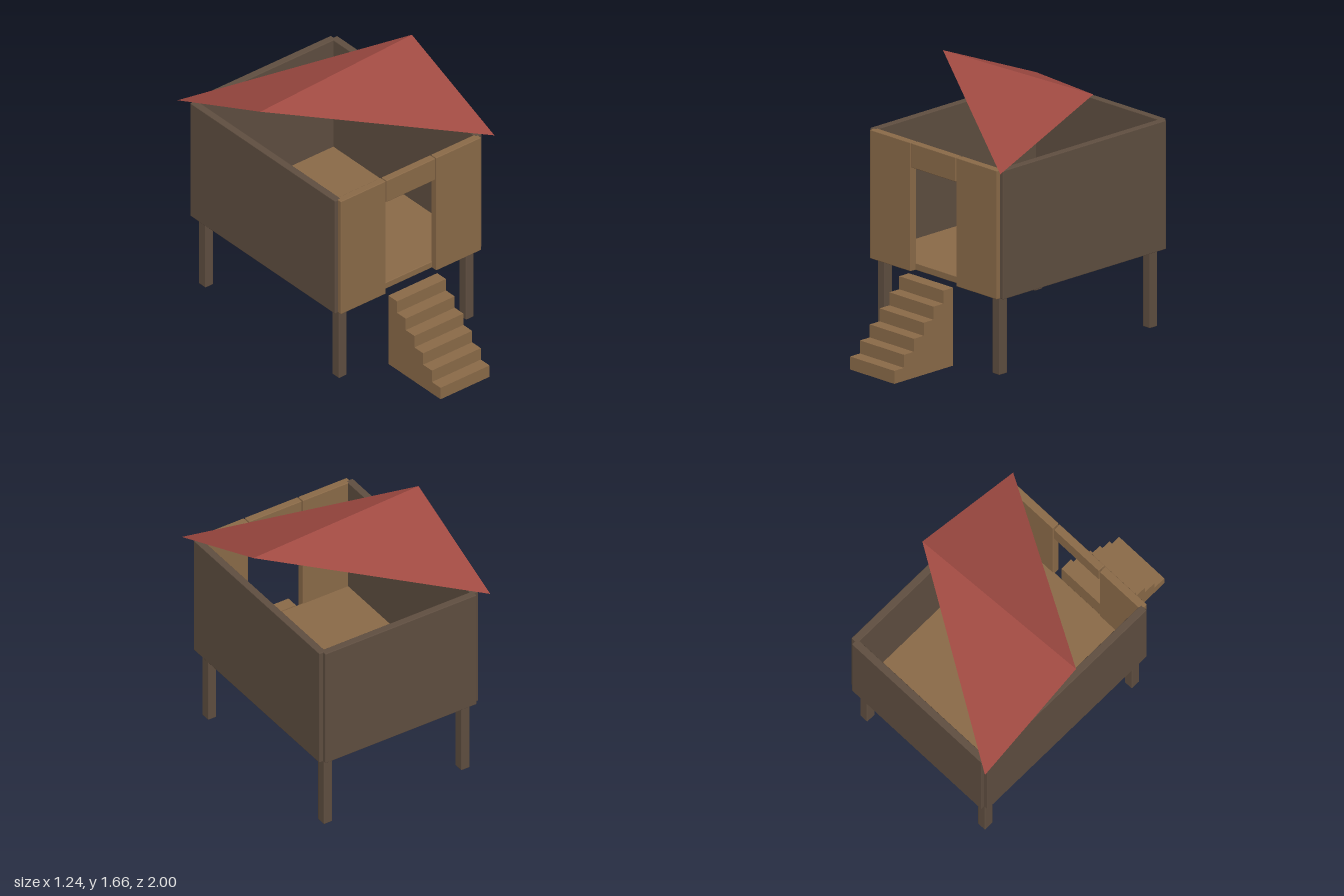
import * as THREE from 'three';
import { RoundedBoxGeometry } from 'three/addons/geometries/RoundedBoxGeometry.js';

const material = (color) => new THREE.MeshStandardMaterial({ color, flatShading: true });

export function createModel() {
  const group = new THREE.Group();
  const tan = material(0x8a6a48);
  const brown = material(0x5f4e40);
  const red = material(0xa04a42);

  // Softly chamfered board given by its min and max corners
  function board(name, mat, [x0, y0, z0], [x1, y1, z1]) {
    const geo = new RoundedBoxGeometry(x1 - x0, y1 - y0, z1 - z0, 1, 0.004);
    const mesh = new THREE.Mesh(geo, mat);
    mesh.position.set((x0 + x1) / 2, (y0 + y1) / 2, (z0 + z1) / 2);
    mesh.name = name;
    group.add(mesh);
  }

  const base = 0.505, top = 1.33;

  // Floor
  board('floor', tan, [-0.54, base, -0.92], [0.54, 0.55, 0.44]);

  // Side and back walls
  board('leftWall', brown, [0.53, base, -0.93], [0.578, top, 0.455]);
  board('rightWall', brown, [-0.578, base, -0.93], [-0.53, top, 0.455]);
  board('backWall', brown, [-0.55, base, -0.955], [0.55, top, -0.907]);

  // Front wall with doorway
  board('frontPanelRight', tan, [-0.553, base, 0.432], [-0.2, top, 0.482]);
  board('frontPanelLeft', tan, [0.197, base, 0.432], [0.55, top, 0.482]);
  board('doorLintel', tan, [-0.193, 1.173, 0.432], [0.19, top, 0.482]);

  // Four stilts
  for (const x of [-0.502, 0.498])
    for (const z of [0.405, -0.872])
      board('leg', brown, [x - 0.03, 0.005, z - 0.033], [x + 0.03, 0.5, z + 0.033]);

  // Solid stairs: stepped side profile extruded across the width
  const steps = 6, rise = 0.5 / steps, run = 0.5 / steps;
  const profile = new THREE.Shape();
  profile.moveTo(0.5, 0);
  profile.lineTo(1, 0);
  for (let i = 0; i < steps; i++) {
    profile.lineTo(1 - i * run, (i + 1) * rise);
    profile.lineTo(1 - (i + 1) * run, (i + 1) * rise);
  }
  const stairGeo = new THREE.ExtrudeGeometry(profile, { depth: 0.385, bevelEnabled: false });
  stairGeo.rotateY(-Math.PI / 2); // profile x becomes z, extrusion runs along -x
  stairGeo.translate(0.19, 0, 0);
  const stairs = new THREE.Mesh(stairGeo, tan);
  stairs.name = 'stairs';
  group.add(stairs);

  // Roof: a four-cornered wedge with a ridge and two opposite eave points
  const roofGeo = new THREE.BufferGeometry();
  roofGeo.setAttribute('position', new THREE.Float32BufferAttribute([
    -0.622, 1.662, -0.205,
    0.622, 1.662, -0.268,
    0.622, 1.335, 0.522,
    -0.622, 1.335, -0.997,
  ], 3));
  roofGeo.setIndex([0, 2, 1, 0, 1, 3, 0, 3, 2, 1, 2, 3]);
  const roofFlat = roofGeo.toNonIndexed();
  roofFlat.computeVertexNormals();
  const roof = new THREE.Mesh(roofFlat, red);
  roof.name = 'roof';
  group.add(roof);

  return group;
}
